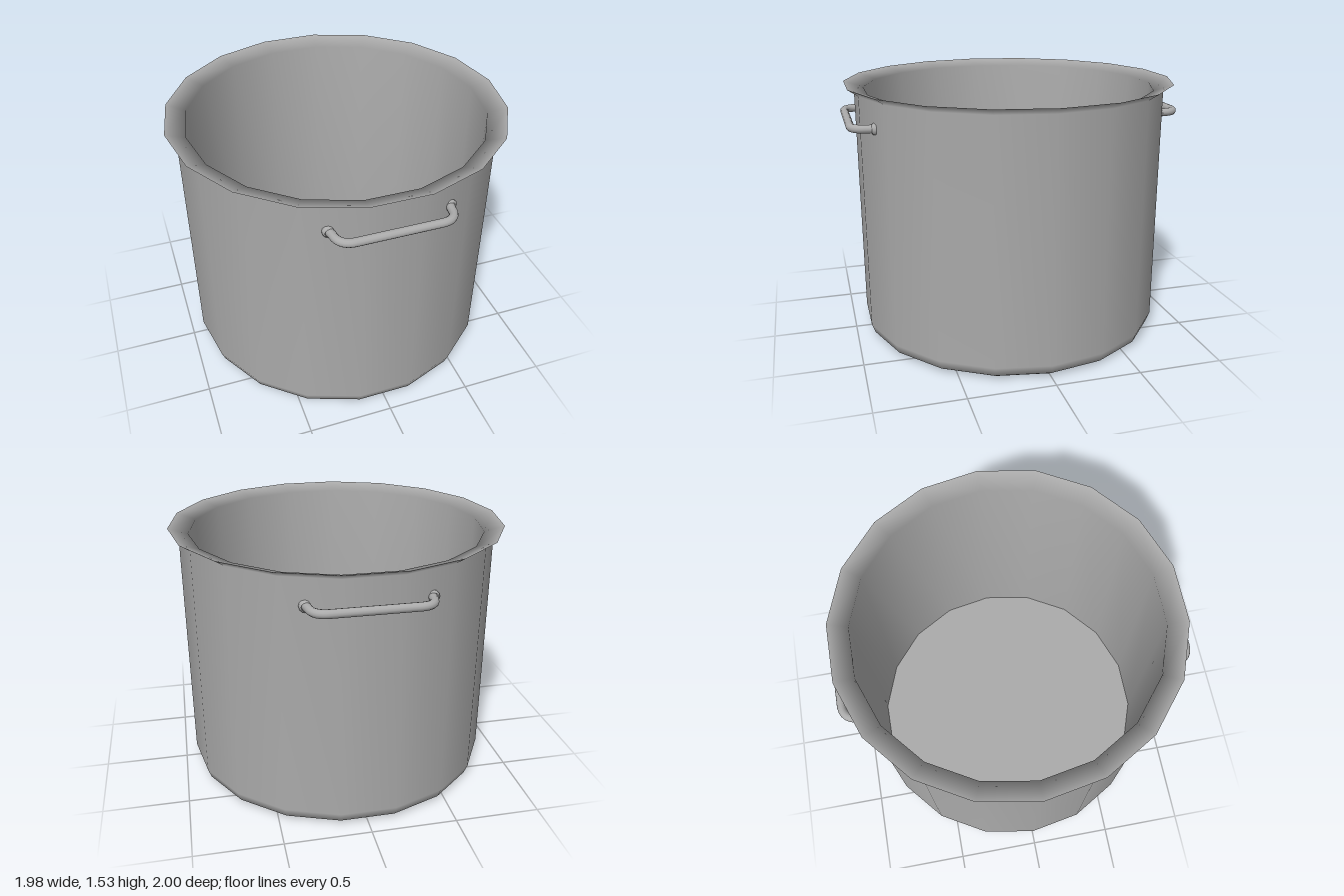
import * as THREE from 'three';

const SIDES = 18;

export function createModel() {
  const model = new THREE.Group();
  const steel = new THREE.MeshStandardMaterial({ color: 0xababab });

  const add = (parent, name, geometry) => {
    const mesh = new THREE.Mesh(geometry, steel);
    mesh.name = name;
    parent.add(mesh);
    return mesh;
  };

  // Profiles of [radius, height] spun with a corner on the x axis
  const spin = (profile, sides = SIDES) => new THREE.LatheGeometry(
    profile.map(([r, y]) => new THREE.Vector2(r, y)), sides, Math.PI / 2);

  // Outer shell: base, rounded foot, straight wall and underside of the rim, shaded as one
  add(model, 'outerShell', spin([
    [0, 0], [0.85, 0], [0.87, 0], [0.91, 0.025], [0.93, 0.08], [0.93, 1.495], [0.99, 1.535],
  ]));

  // Sloping lip running down into the inner wall
  add(model, 'lipAndInnerWall', spin([[0.99, 1.535], [0.875, 1.498], [0.875, 0.05]]));

  // Inner floor
  add(model, 'floor', new THREE.CircleGeometry(0.875, SIDES).rotateX(-Math.PI / 2)).position.y = 0.05;

  // Bent bar handle: two legs joined by rounded corners
  const V = (x, z) => new THREE.Vector3(x, 0, z);
  const path = new THREE.CurvePath();
  path.add(new THREE.LineCurve3(V(-0.335, 0.83), V(-0.325, 0.89)));
  path.add(new THREE.QuadraticBezierCurve3(V(-0.325, 0.89), V(-0.318, 0.976), V(-0.23, 0.976)));
  path.add(new THREE.LineCurve3(V(-0.23, 0.976), V(0.23, 0.976)));
  path.add(new THREE.QuadraticBezierCurve3(V(0.23, 0.976), V(0.318, 0.976), V(0.325, 0.89)));
  path.add(new THREE.LineCurve3(V(0.325, 0.89), V(0.335, 0.83)));

  const barGeometry = new THREE.TubeGeometry(path, 72, 0.024, 12);
  // Thin collar where a leg meets the wall
  const collarGeometry = spin([[0.034, 0], [0.034, 0.014], [0.023, 0.024]], 12)
    .rotateX(Math.PI / 2);

  for (const [name, turn] of [['frontHandle', 0], ['backHandle', Math.PI]]) {
    const handle = new THREE.Group();
    handle.name = name;
    handle.position.y = 1.342;
    handle.rotation.y = turn;
    add(handle, 'handleBar', barGeometry);
    for (const side of [-1, 1]) {
      add(handle, 'handleCollar', collarGeometry).position.set(side * 0.335, 0, 0.843);
    }
    model.add(handle);
  }

  return model;
}
